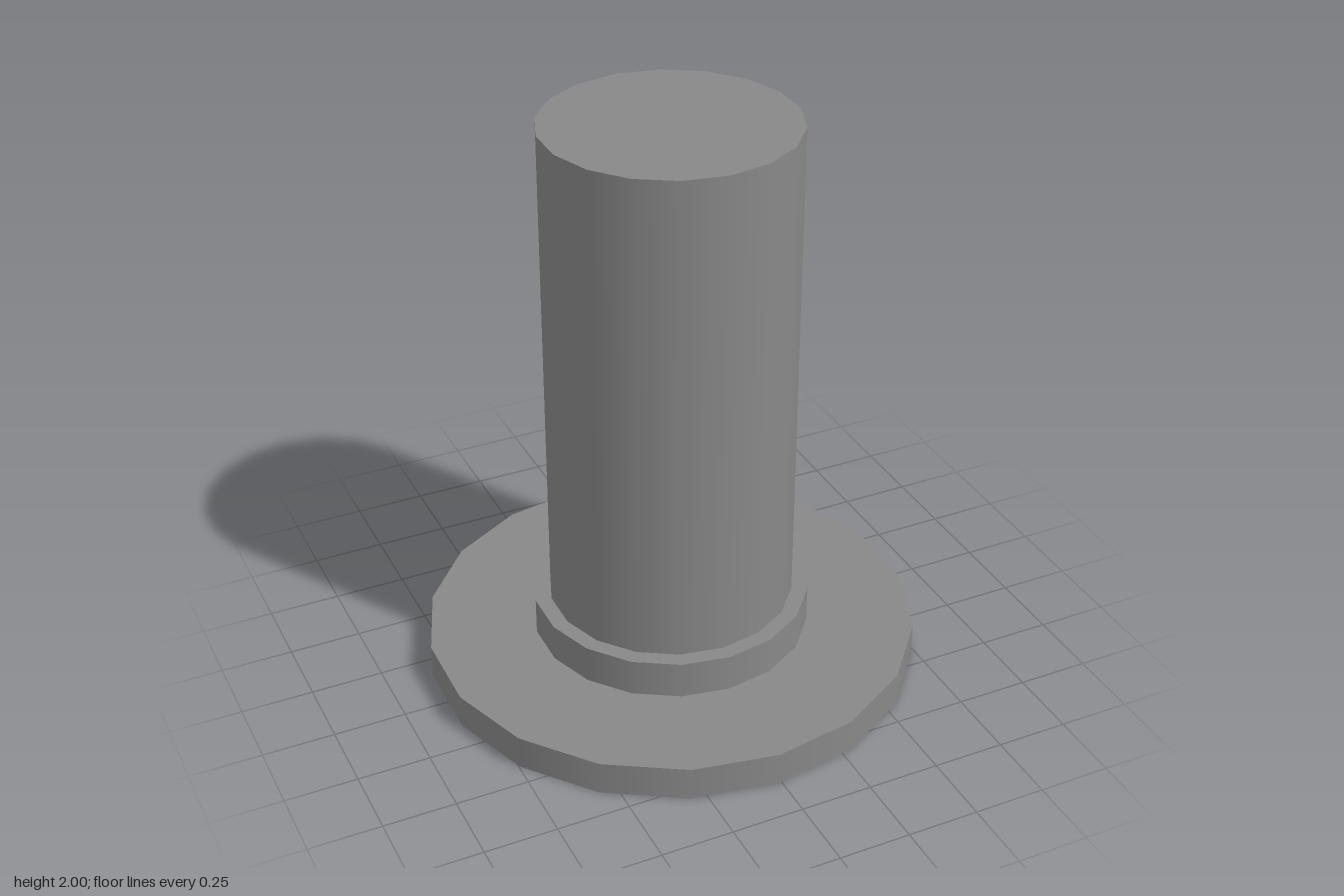
import * as THREE from 'three';

const SIDES = 18;
const TWIST = -0.014; // slight turn of the facets about the axis

export function createModel() {
  const model = new THREE.Group();
  model.name = 'flangedPin';
  const material = new THREE.MeshStandardMaterial({ color: 0x888888 });

  // Upright cylinder between two heights
  const addDisc = (name, radius, bottom, top, z = 0) => {
    const geometry = new THREE.CylinderGeometry(radius, radius, top - bottom, SIDES, 1, false, TWIST);
    const mesh = new THREE.Mesh(geometry, material);
    mesh.name = name;
    mesh.position.set(0, (bottom + top) / 2, z);
    model.add(mesh);
  };

  addDisc('baseFlange', 0.856, 0, 0.12);
  addDisc('collar', 0.482, 0.12, 0.253, -0.002);
  addDisc('shaft', 0.426, 0.253, 2, -0.002);

  return model;
}
